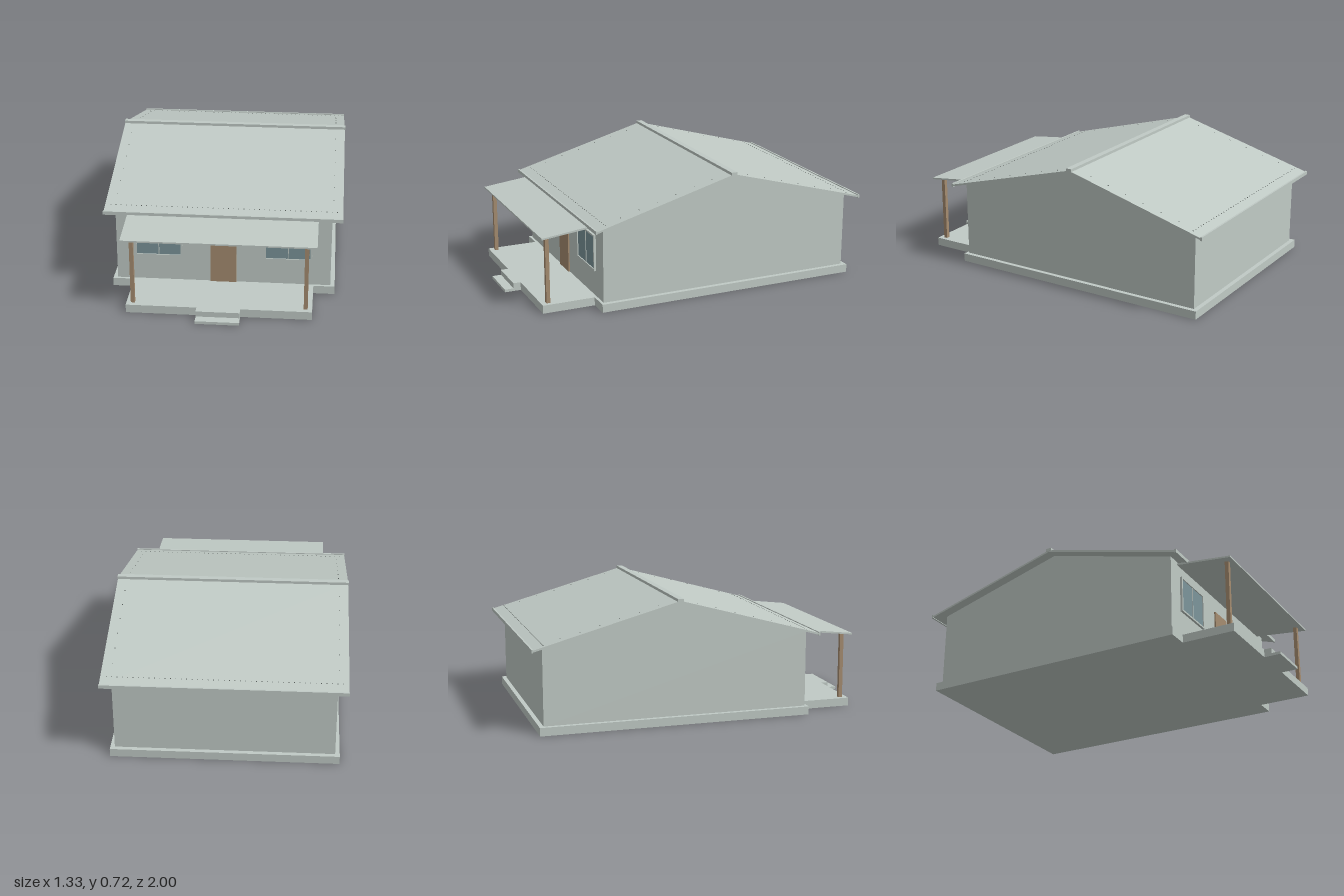
import * as THREE from 'three';
import { mergeGeometries } from 'three/addons/utils/BufferGeometryUtils.js';

const mat = (name, color) => Object.assign(new THREE.MeshStandardMaterial({ color }), { name });

export function createModel() {
  const house = new THREE.Group();
  house.name = 'house';
  const plaster = mat('pale grey green', 0xc0cac5);
  const wood = mat('brown wood', 0xa58c70);
  const glass = mat('blue glass', 0x7b949a);
  const dark = mat('dark screw', 0x5c625f);

  const add = (name, geometry, material, parent = house) => {
    const mesh = new THREE.Mesh(geometry, material);
    mesh.name = name;
    parent.add(mesh);
    return mesh;
  };
  // Box given by its limits on each axis
  const box = (name, [x0, x1], [y0, y1], [z0, z1], material, parent) => {
    const g = new THREE.BoxGeometry(x1 - x0, y1 - y0, z1 - z0);
    g.translate((x0 + x1) / 2, (y0 + y1) / 2, (z0 + z1) / 2);
    return add(name, g, material, parent);
  };
  // Side profile of [z, y] points, extruded across the width
  const profile = (name, points, halfWidth, material) => {
    const shape = new THREE.Shape(points.map(([z, y]) => new THREE.Vector2(z, y)));
    const g = new THREE.ExtrudeGeometry(shape, { depth: halfWidth * 2, bevelEnabled: false });
    g.rotateY(-Math.PI / 2).translate(halfWidth, 0, 0);
    return add(name, g, material);
  };

  const floor = 0.047, ridgeZ = -0.175, ridgeY = 0.705, slope = 0.275, thick = 0.011, run = 0.82;
  const roofY = z => ridgeY - slope * Math.abs(z - ridgeZ);

  // Foundation, porch floor and steps
  box('foundation', [-0.63, 0.63], [0, floor], [-0.957, 0.603], plaster);
  box('porchFloor', [-0.51, 0.51], [0, floor], [0.603, 0.905], plaster);
  box('upperStep', [-0.12, 0.12], [0, floor], [0.905, 0.948], plaster);
  box('lowerStep', [-0.12, 0.12], [0, 0.016], [0.948, 1], plaster);

  // Walls with gables
  const front = 0.587, back = -0.932;
  profile('walls', [
    [back, floor], [front, floor], [front, roofY(front) - thick],
    [ridgeZ, ridgeY - thick], [back, roofY(back) - thick],
  ], 0.605, plaster);

  // Roof slopes, eave boards and ridge cap
  for (const s of [-1, 1]) {
    const eave = ridgeZ + s * run, y = roofY(eave);
    const points = [[ridgeZ, ridgeY], [ridgeZ, ridgeY - thick], [eave, y - thick], [eave, y]];
    profile(s > 0 ? 'frontRoof' : 'backRoof', points, 0.663, plaster);
    const z = [eave - 0.005, eave + 0.005];
    box(s > 0 ? 'frontEaveBoard' : 'backEaveBoard', [-0.665, 0.665], [0.466, 0.486], z, plaster);
  }
  box('ridgeCap', [-0.665, 0.665], [0.699, 0.716], [ridgeZ - 0.017, ridgeZ + 0.017], plaster);

  // Roof screws along eaves and gable edges
  const screws = [];
  const screw = (x, z) => screws.push(
    new THREE.BoxGeometry(0.004, 0.003, 0.004).translate(x, roofY(z) + 0.0008, z));
  for (const s of [-1, 1]) {
    for (let i = 0; i < 45; i++) screw(-0.63 + i * 1.26 / 44, ridgeZ + s * 0.755);
    for (let i = 1; i < 7; i++) for (const x of [-0.61, 0.61]) screw(x, ridgeZ + s * i * 0.11);
  }
  add('roofScrews', mergeGeometries(screws), dark);

  // Porch roof
  profile('porchRoof', [[0.587, 0.466], [0.908, 0.43], [0.908, 0.439], [0.587, 0.477]], 0.53, plaster);

  // Door
  box('door', [-0.073, 0.073], [floor, 0.374], [front, front + 0.008], wood);

  // Posts and two-pane windows on both sides
  for (const s of [-1, 1]) {
    const side = s > 0 ? 'left' : 'right';
    const cx = s * 0.475;
    box(side + 'Post', [cx - 0.011, cx + 0.011], [floor, 0.437], [0.854, 0.876], wood);

    const win = new THREE.Group();
    win.name = side + 'Window';
    win.position.x = s * 0.365;
    house.add(win);
    const w = 0.134, y0 = 0.197, y1 = 0.406, b = 0.01, z = [front, front + 0.013];
    box('frameBottom', [-w, w], [y0, y0 + b], z, plaster, win);
    box('frameTop', [-w, w], [y1 - b, y1], z, plaster, win);
    box('frameRight', [-w, b - w], [y0 + b, y1 - b], z, plaster, win);
    box('frameLeft', [w - b, w], [y0 + b, y1 - b], z, plaster, win);
    box('mullion', [-0.0025, 0.0025], [y0 + b, y1 - b], [front, front + 0.01], plaster, win);
    for (const p of [-1, 1]) {
      const x = [p * 0.0025, p * (w - b)].sort((a, c) => a - c);
      box('pane', x, [y0 + b, y1 - b], [front, front + 0.007], glass, win);
    }
  }
  return house;
}
